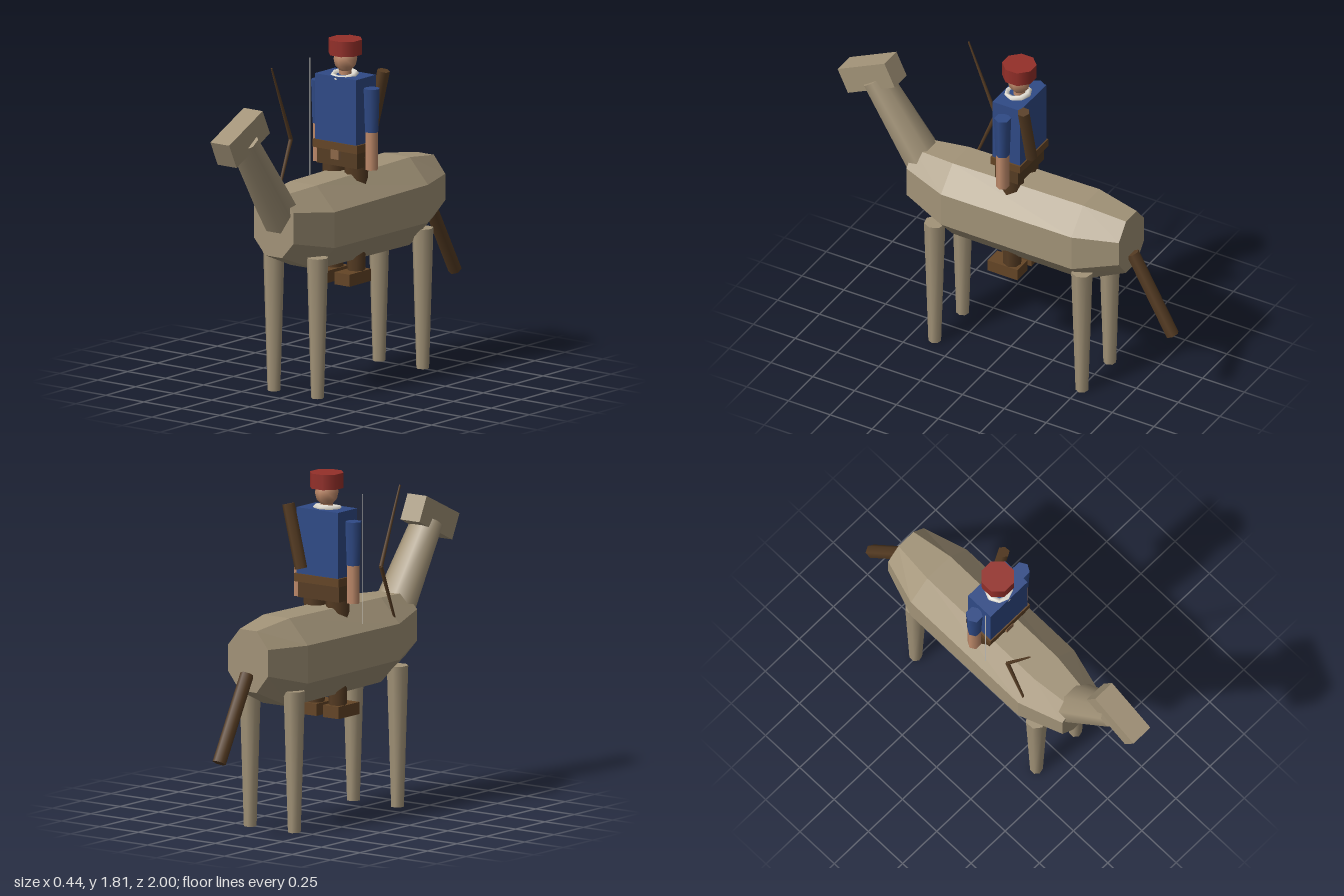
import * as THREE from 'three';

const mat = (name, color) => {
  const m = new THREE.MeshStandardMaterial({ color });
  m.name = name;
  return m;
};

export function createModel() {
  const hide = mat('tan hide', 0xa29378);
  const brown = mat('dark brown', 0x563c23);
  const leather = mat('leather brown', 0x644526);
  const blue = mat('blue cloth', 0x2f4a86);
  const red = mat('red cloth', 0x942f29);
  const skin = mat('skin', 0xc08b6b);
  const cream = mat('cream', 0xe6e2d8);
  const clasp = mat('tan leather', 0x8d6848);

  const model = new THREE.Group();
  const mount = new THREE.Group();
  mount.name = 'mount';
  const rider = new THREE.Group();
  rider.name = 'rider';
  model.add(mount, rider);

  const add = (group, name, geometry, material, x = 0, y = 0, z = 0) => {
    const mesh = new THREE.Mesh(geometry, material);
    mesh.name = name;
    mesh.position.set(x, y, z);
    group.add(mesh);
    return mesh;
  };
  const box = (group, name, material, size, pos) =>
    add(group, name, new THREE.BoxGeometry(...size), material, ...pos);

  // Tapered rod between two points; spin turns the polygon, flat squashes it
  const rod = (group, name, material, from, to, r0, r1, sides, spin = 0, flat = 1) => {
    const a = new THREE.Vector3(...from), b = new THREE.Vector3(...to);
    const dir = b.clone().sub(a);
    const geo = new THREE.CylinderGeometry(r1, r0, dir.length(), sides);
    geo.rotateY(spin);
    geo.scale(1, 1, flat);
    const mid = a.add(b).multiplyScalar(0.5);
    const mesh = add(group, name, geo, material, mid.x, mid.y, mid.z);
    mesh.quaternion.setFromUnitVectors(new THREE.Vector3(0, 1, 0), dir.normalize());
    return mesh;
  };

  // Faceted barrel body: octagonal rings, front to back
  // [z, half width, flat half width, bottom, lower side, upper side, top]
  const rings = [
    [0.55, 0.13, 0.055, 0.76, 0.845, 1.01, 1.09],
    [0.30, 0.205, 0.085, 0.66, 0.79, 0.98, 1.105],
    [-0.48, 0.205, 0.085, 0.65, 0.785, 0.985, 1.115],
    [-0.72, 0.13, 0.055, 0.755, 0.85, 0.99, 1.08],
  ].map(([z, w, f, b, lo, up, t]) => [
    [f, b, z], [w, lo, z], [w, up, z], [f, t, z],
    [-f, t, z], [-w, up, z], [-w, lo, z], [-f, b, z],
  ]);
  const pos = [];
  const tri = (...points) => points.forEach((p) => pos.push(...p));
  for (let r = 0; r < rings.length - 1; r++) {
    const a = rings[r], b = rings[r + 1];
    for (let i = 0; i < 8; i++) {
      const j = (i + 1) % 8;
      tri(a[i], b[i], a[j]);
      tri(a[j], b[i], b[j]);
    }
  }
  const front = rings[0], back = rings[rings.length - 1];
  for (let i = 1; i < 7; i++) {
    tri(front[0], front[i], front[i + 1]);
    tri(back[0], back[i + 1], back[i]);
  }
  const bodyGeo = new THREE.BufferGeometry();
  bodyGeo.setAttribute('position', new THREE.Float32BufferAttribute(pos, 3));
  bodyGeo.computeVertexNormals();
  add(mount, 'body', bodyGeo, hide);

  // Neck, head and tail
  rod(mount, 'neck', hide, [0, 0.92, 0.46], [0, 1.42, 0.807], 0.125, 0.09, 8, Math.PI / 8, 0.8);
  box(mount, 'mountHead', hide, [0.124, 0.143, 0.31], [0, 1.441, 0.83]).rotation.x = 0.446;
  rod(mount, 'tail', brown, [0, 0.85, -0.728], [0, 0.417, -0.967], 0.036, 0.036, 6);

  // Mount legs
  for (const x of [-0.14, 0.147]) {
    for (const z of [0.37, -0.51]) {
      rod(mount, z > 0 ? 'frontLeg' : 'hindLeg', hide, [x, 0, z], [x, 0.745, z], 0.034, 0.057, 7, Math.PI / 2);
    }
  }

  // Rider torso, belt and hips
  const cz = -0.05;
  box(rider, 'torso', blue, [0.27, 0.36, 0.165], [0, 1.442, cz]);
  box(rider, 'belt', leather, [0.29, 0.043, 0.178], [0, 1.253, cz]);
  box(rider, 'hips', brown, [0.265, 0.09, 0.14], [0, 1.192, cz]);
  box(rider, 'beltPouch', clasp, [0.05, 0.05, 0.03], [0, 1.21, 0.026]);

  // Rider limbs, mirrored
  for (const s of [-1, 1]) {
    const ax = s * 0.173, lx = s * 0.072, out = s * Math.PI / 2;
    rod(rider, 'sleeve', blue, [ax, 1.34, cz], [ax, 1.57, cz], 0.037, 0.045, 6, out);
    rod(rider, 'forearm', skin, [ax, 1.14, cz], [ax, 1.345, cz], 0.035, 0.035, 6, out);
    rod(rider, 'leg', brown, [lx, 0.57, cz], [lx, 1.2, cz], 0.047, 0.066, 7, out);
    box(rider, 'boot', leather, [0.1, 0.064, 0.18], [lx, 0.563, -0.02]);
  }

  // Head, neck, cap and collar
  rod(rider, 'riderNeck', skin, [0, 1.6, cz], [0, 1.67, cz], 0.032, 0.032, 8);
  add(rider, 'riderHead', new THREE.SphereGeometry(0.062, 8, 6), skin, 0, 1.705, cz).scale.y = 1.15;
  rod(rider, 'cap', red, [0, 1.73, cz], [0, 1.81, cz], 0.09, 0.09, 8, Math.PI / 8);
  const collar = add(rider, 'collar', new THREE.TorusGeometry(0.06, 0.018, 5, 8), cream, 0, 1.62, -0.04);
  collar.rotation.x = Math.PI / 2 + 0.15;

  // Quiver slung across the back
  rod(rider, 'quiver', brown, [0.078, 1.31, -0.167], [0.16, 1.642, -0.167], 0.033, 0.033, 6);

  // Bow with its string
  const grip = [-0.17, 1.295, 0.19];
  for (const y of [1.7, 0.89]) {
    rod(rider, 'bowLimb', brown, grip, [-0.17, y, 0.352], 0.011, 0.005, 6);
  }
  rod(rider, 'bowString', cream, [-0.17, 0.89, 0.03], [-0.17, 1.7, 0.03], 0.002, 0.002, 5);

  return model;
}
